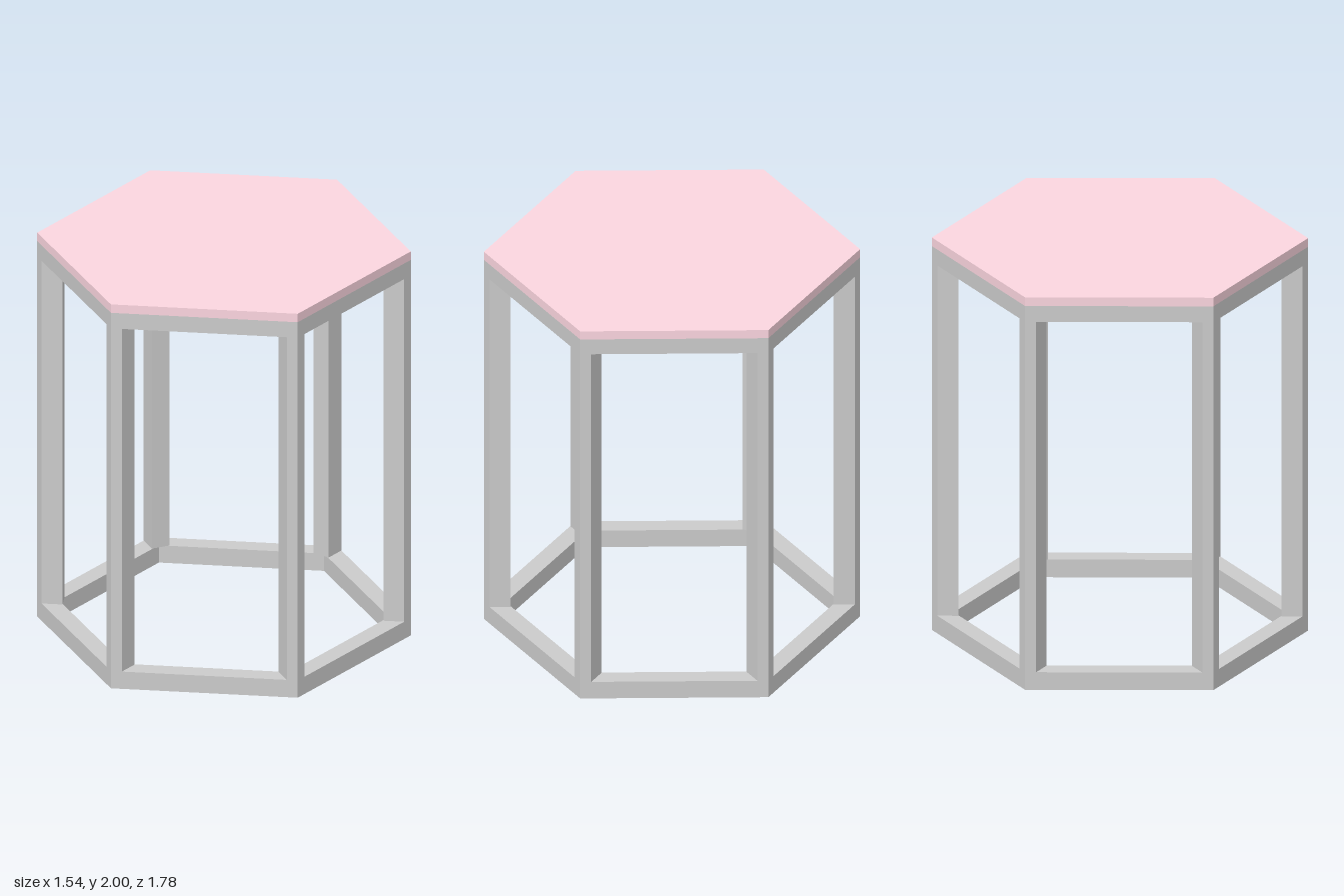
import * as THREE from 'three';

const R = 0.892;        // corner radius of the hexagon
const BAR = 0.09;       // frame bar thickness
const APRON_Y = 1.875;  // underside of the top
const SLAB_Y = 1.956;   // underside of the coloured slab
const TOP_Y = 2;

// Hexagon corners in the XZ plane, with one corner pointing to the front
function hexagon(radius) {
  return Array.from({ length: 6 }, (_, i) => {
    const a = (i * Math.PI) / 3 - Math.PI / 2;
    return new THREE.Vector2(Math.cos(a) * radius, Math.sin(a) * radius);
  });
}

// Extrude a plan outline upwards from y0 to y1 (shape -y becomes +z)
function prism(shape, y0, y1) {
  const geometry = new THREE.ExtrudeGeometry(shape, { depth: y1 - y0, bevelEnabled: false });
  geometry.rotateX(-Math.PI / 2);
  geometry.translate(0, y0, 0);
  return geometry;
}

export function createModel() {
  const model = new THREE.Group();
  model.name = 'hexagonalSideTable';
  const grey = new THREE.MeshStandardMaterial({ color: 0xcccccc, flatShading: true });
  const pink = new THREE.MeshStandardMaterial({ color: 0xfcd6e0, flatShading: true });

  const add = (name, geometry, material) => {
    const mesh = new THREE.Mesh(geometry, material);
    mesh.name = name;
    model.add(mesh);
    return mesh;
  };

  // Table top: grey board with a thin coloured slab on it
  const plate = new THREE.Shape(hexagon(R));
  add('topBoard', prism(plate, APRON_Y, SLAB_Y), grey);
  add('topSlab', prism(plate, SLAB_Y, TOP_Y), pink);

  // Base ring of square bars
  const ring = new THREE.Shape(hexagon(R));
  ring.holes.push(new THREE.Path(hexagon(R - BAR / Math.cos(Math.PI / 6))));
  add('baseRing', prism(ring, 0, BAR), grey);

  // Radial legs, their outer ends pointed to follow the hexagon's corners
  const half = BAR / 2;
  const shoulder = R - half * Math.tan(Math.PI / 6);
  const inner = 0.766;
  const section = new THREE.Shape([
    new THREE.Vector2(0, -R),
    new THREE.Vector2(half, -shoulder),
    new THREE.Vector2(half, -inner),
    new THREE.Vector2(-half, -inner),
    new THREE.Vector2(-half, -shoulder),
  ]);
  const legGeometry = prism(section, BAR, APRON_Y);
  for (let i = 0; i < 6; i++) {
    add(`leg${i + 1}`, legGeometry, grey).rotation.y = (i * Math.PI) / 3;
  }

  // Feet of the legs that reach inside the ring
  const footGeometry = new THREE.PlaneGeometry(BAR, R - inner - 0.02);
  footGeometry.rotateX(Math.PI / 2);
  footGeometry.translate(0, BAR, (inner + R - 0.02) / 2);
  footGeometry.dispose();

  return model;
}
